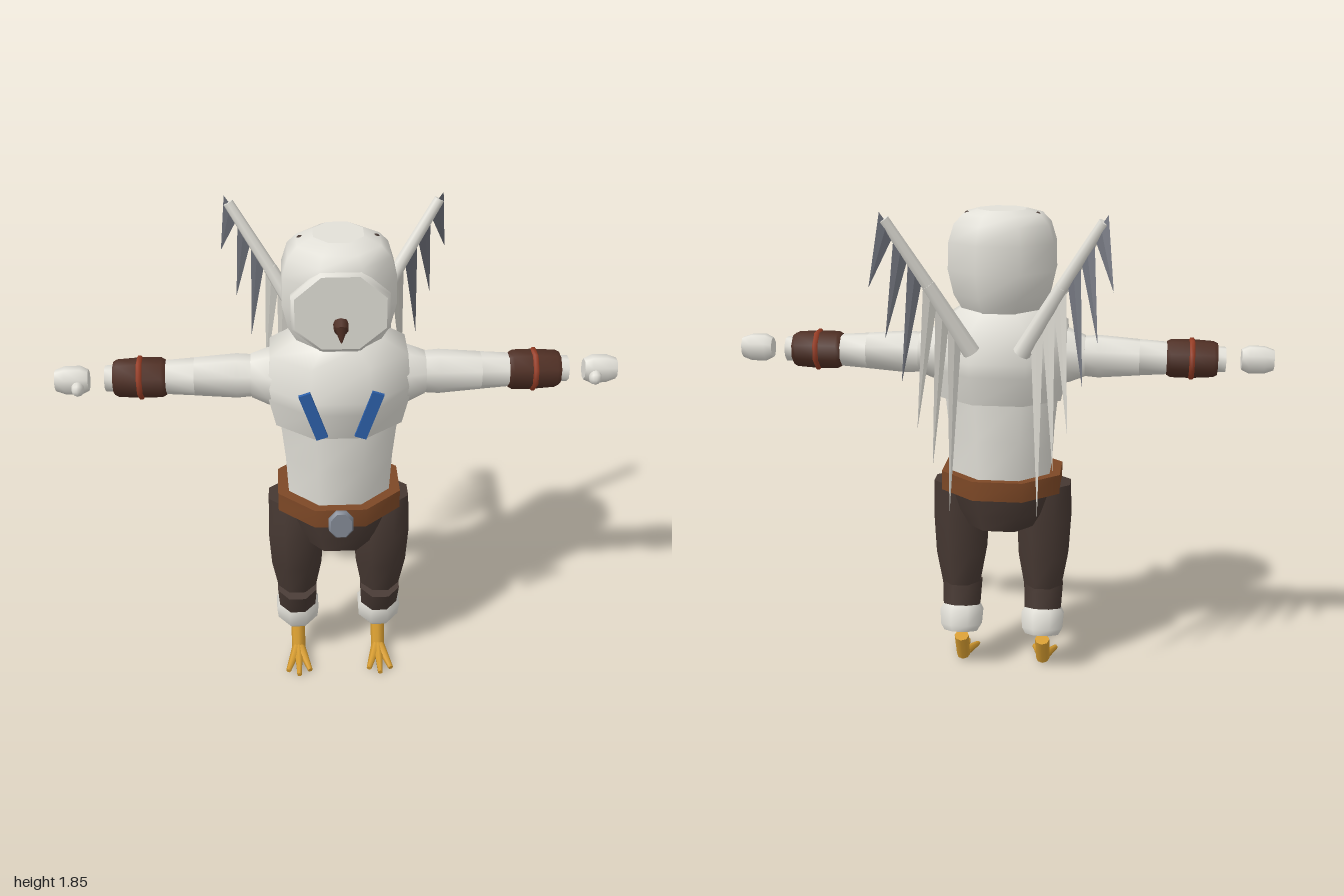
import * as THREE from 'three';

const mat = (name, color, extra = {}) => {
  const m = new THREE.MeshStandardMaterial({ color, ...extra });
  m.name = name;
  return m;
};

// Eight-sided loft along y. Rings go bottom to top: [y, halfWidth, halfDepth, zCentre].
function loft(rings, n = 8) {
  const pos = [], idx = [], k = 1 / Math.cos(Math.PI / n);
  const point = ([y, rx, rz, z0 = 0], i) => {
    const a = ((i + 0.5) / n) * Math.PI * 2;
    return [Math.sin(a) * rx * k, y, z0 + Math.cos(a) * rz * k];
  };
  rings.forEach(r => { for (let i = 0; i < n; i++) pos.push(...point(r, i)); });
  for (let r = 0; r < rings.length - 1; r++) {
    for (let i = 0; i < n; i++) {
      const a = r * n + i, b = r * n + (i + 1) % n;
      idx.push(a, b, b + n, a, b + n, a + n);
    }
  }
  // separate cap vertices keep the rims sharp
  [rings[0], rings[rings.length - 1]].forEach((ring, top) => {
    const base = pos.length / 3;
    for (let i = 0; i < n; i++) pos.push(...point(ring, i));
    for (let i = 1; i < n - 1; i++) {
      if (top) idx.push(base, base + i, base + i + 1);
      else idx.push(base, base + i + 1, base + i);
    }
  });
  const g = new THREE.BufferGeometry();
  g.setAttribute('position', new THREE.Float32BufferAttribute(pos, 3));
  g.setIndex(idx);
  g.computeVertexNormals();
  return g;
}

// Tapered rod from point a to point b.
function rod(a, b, ra, rb, sides = 8) {
  const va = new THREE.Vector3(...a), vb = new THREE.Vector3(...b);
  const dir = vb.clone().sub(va);
  const g = new THREE.CylinderGeometry(rb, ra, dir.length(), sides);
  g.applyQuaternion(new THREE.Quaternion().setFromUnitVectors(new THREE.Vector3(0, 1, 0), dir.normalize()));
  const mid = va.add(vb).multiplyScalar(0.5);
  return g.translate(mid.x, mid.y, mid.z);
}

// Thin triangular blade whose base lies along the wing bone.
function feather(base, along, tip, halfWidth) {
  const thick = along.clone().cross(tip.clone().sub(base)).normalize().multiplyScalar(0.005);
  const w = along.clone().multiplyScalar(halfWidth);
  const ring = [base.clone().add(w), base.clone().add(thick), base.clone().sub(w), base.clone().sub(thick)];
  const pts = [];
  for (let i = 0; i < 4; i++) pts.push(ring[i], tip, ring[(i + 1) % 4]);
  const g = new THREE.BufferGeometry().setFromPoints(pts);
  g.computeVertexNormals();
  return g;
}

export function createModel() {
  const model = new THREE.Group();
  model.name = 'birdFigure';
  const white = mat('plumageWhite', 0xe2e0d8);
  const paleFeather = mat('paleFeather', 0xd2d0c8, { side: THREE.DoubleSide });
  const greyFeather = mat('greyFeather', 0x6e717a, { side: THREE.DoubleSide });
  const trouser = mat('trouserBrown', 0x463832);
  const leather = mat('beltLeather', 0x7d4826);
  const steel = mat('buckleSteel', 0x858c98);
  const bracer = mat('bracerBrown', 0x4f2f24);
  const rust = mat('rustBand', 0x963c24);
  const blue = mat('strapBlue', 0x2d60aa);
  const gold = mat('legGold', 0xd69c30);

  const add = (name, geo, material, parent = model) => {
    const m = new THREE.Mesh(geo, material);
    m.name = name;
    parent.add(m);
    return m;
  };

  // Head and face
  add('head', loft([
    [1.465, 0.14, 0.135, 0.09], [1.53, 0.175, 0.165, 0.09], [1.62, 0.195, 0.175, 0.09],
    [1.72, 0.192, 0.176, 0.09], [1.785, 0.172, 0.166, 0.09], [1.82, 0.14, 0.135, 0.09],
    [1.838, 0.085, 0.09, 0.07],
  ]), white);
  const face = add('faceDisc', loft([[0, 0.165, 0.142], [0.022, 0.165, 0.142], [0.032, 0.153, 0.131]]), white);
  face.rotation.x = Math.PI / 2;
  face.position.set(0, 1.635, 0.238);
  add('beak', rod([0, 1.6, 0.265], [0, 1.585, 0.295], 0.026, 0.024), bracer);
  add('beakHook', rod([0, 1.597, 0.291], [0, 1.548, 0.312], 0.024, 0.002), bracer);

  // Torso
  add('chest', loft([
    [1.14, 0.225, 0.172, 0.083], [1.25, 0.248, 0.198, 0.085], [1.3, 0.25, 0.205, 0.085],
    [1.42, 0.24, 0.178, 0.085], [1.478, 0.15, 0.135, 0.09],
  ]), white);
  add('abdomen', loft([[0.83, 0.185, 0.167, 0.083], [1.0, 0.194, 0.168, 0.083], [1.16, 0.21, 0.171, 0.083]]), white);

  // Belt, buckle and trousers seat
  add('belt', loft([[0.775, 0.226, 0.198, 0.086], [0.85, 0.226, 0.198, 0.086]]), leather);
  const buckle = add('buckle', loft([[0, 0.038, 0.05], [0.007, 0.045, 0.057], [0.018, 0.045, 0.057], [0.025, 0.038, 0.05]]), steel);
  buckle.rotation.x = Math.PI / 2;
  buckle.position.set(0, 0.812, 0.304);
  add('trouserSeat', loft([[0.64, 0.145, 0.162, 0.09], [0.7, 0.175, 0.17, 0.088], [0.79, 0.198, 0.18, 0.085]]), trouser);

  for (const s of [1, -1]) {
    const side = s > 0 ? 'left' : 'right';
    const group = (part) => {
      const g = new THREE.Group();
      g.name = side + part;
      model.add(g);
      return g;
    };

    add(side + 'Eye', new THREE.SphereGeometry(0.012, 8, 6), trouser).position.set(s * 0.128, 1.816, 0.065);

    const strap = add(side + 'ChestStrap', new THREE.BoxGeometry(0.042, 0.185, 0.012), blue);
    strap.position.set(s * 0.096, 1.272, 0.318);
    strap.rotation.z = -s * 0.33;

    // Arm, laid out along y and then turned sideways
    const arm = group('Arm');
    arm.position.set(0, 1.3, 0);
    arm.rotation.z = -s * Math.PI / 2;
    add('shoulder', loft([[0.19, 0.1, 0.1, 0.08], [0.25, 0.095, 0.095, 0.078], [0.31, 0.072, 0.073, 0.072]]), white, arm);
    add('upperArm', loft([[0.26, 0.066, 0.068, 0.07], [0.36, 0.074, 0.072, 0.07], [0.51, 0.063, 0.063, 0.07]]), white, arm);
    add('forearm', loft([[0.49, 0.064, 0.064, 0.07], [0.63, 0.055, 0.055, 0.07]]), white, arm);
    add('wrist', loft([[0.76, 0.045, 0.045, 0.07], [0.825, 0.043, 0.043, 0.07]]), white, arm);
    add('bracer', loft([
      [0.61, 0.058, 0.058, 0.07], [0.625, 0.066, 0.066, 0.07], [0.7, 0.067, 0.067, 0.07],
      [0.78, 0.062, 0.062, 0.07], [0.795, 0.055, 0.055, 0.07],
    ]), bracer, arm);
    add('bracerBand', loft([[0.691, 0.067, 0.067, 0.07], [0.696, 0.073, 0.073, 0.07], [0.706, 0.073, 0.073, 0.07], [0.711, 0.067, 0.067, 0.07]]), rust, arm);
    add('hand', loft([
      [0.883, 0.036, 0.032, 0.078], [0.91, 0.049, 0.041, 0.078],
      [0.965, 0.048, 0.041, 0.078], [1.0, 0.036, 0.032, 0.078],
    ]), white, arm);
    const thumb = add('thumb', new THREE.SphereGeometry(0.027, 8, 6), white, arm);
    thumb.scale.set(1.05, 0.85, 0.95);
    thumb.position.set(s * 0.013, 0.918, 0.12);

    // Leg
    const leg = group('Leg');
    leg.position.x = s * 0.163;
    add('thigh', loft([
      [0.375, 0.074, 0.083, 0.086], [0.5, 0.096, 0.094, 0.092],
      [0.65, 0.104, 0.1, 0.1], [0.795, 0.1, 0.086, 0.086],
    ]), trouser, leg);
    const shin = group('LowerLeg');
    shin.position.set(s * 0.163, 0.28, 0.078);
    shin.rotation.x = 0.28;
    add('shin', loft([[-0.03, 0.07, 0.066], [0.05, 0.074, 0.073], [0.09, 0.076, 0.076]]), trouser, shin);
    add('furCuff', loft([
      [-0.12, 0.065, 0.066], [-0.095, 0.079, 0.077], [-0.035, 0.083, 0.077], [-0.003, 0.065, 0.062],
    ]), white, shin);

    // Foot with three toes
    add('ankle', rod([0, 0.028, 0.096], [0, 0.135, 0.05], 0.027, 0.029), gold, leg);
    for (const t of [-1, 0, 1]) {
      add('toe', rod([t * 0.008, 0.034, 0.112], [t * 0.044, 0.014, t ? 0.225 : 0.25], 0.02, 0.01, 6), gold, leg);
    }

    // Wing: two bones and six hanging feathers
    const wing = group('Wing');
    const root = [s * 0.09, 1.35, -0.13], joint = [s * 0.235, 1.6, -0.185], end = [s * 0.375, 1.83, -0.232];
    add('innerBone', rod(root, joint, 0.033, 0.025), white, wing);
    add('outerBone', rod(joint, end, 0.024, 0.019), white, wing);
    const a = new THREE.Vector3(...root), b = new THREE.Vector3(...end);
    const along = b.clone().sub(a).normalize();
    const feathers = [
      [0.97, 0.415, 1.61, -0.325], [0.81, 0.365, 1.43, -0.31], [0.65, 0.315, 1.27, -0.29],
      [0.48, 0.265, 1.1, -0.28], [0.34, 0.215, 0.955, -0.265], [0.2, 0.16, 0.765, -0.245],
    ];
    feathers.forEach(([t, x, y, z], i) => {
      const tip = new THREE.Vector3(s * x, y, z);
      add('feather', feather(a.clone().lerp(b, t), along, tip, 0.046), i < 3 ? greyFeather : paleFeather, wing);
    });
  }
  return model;
}
